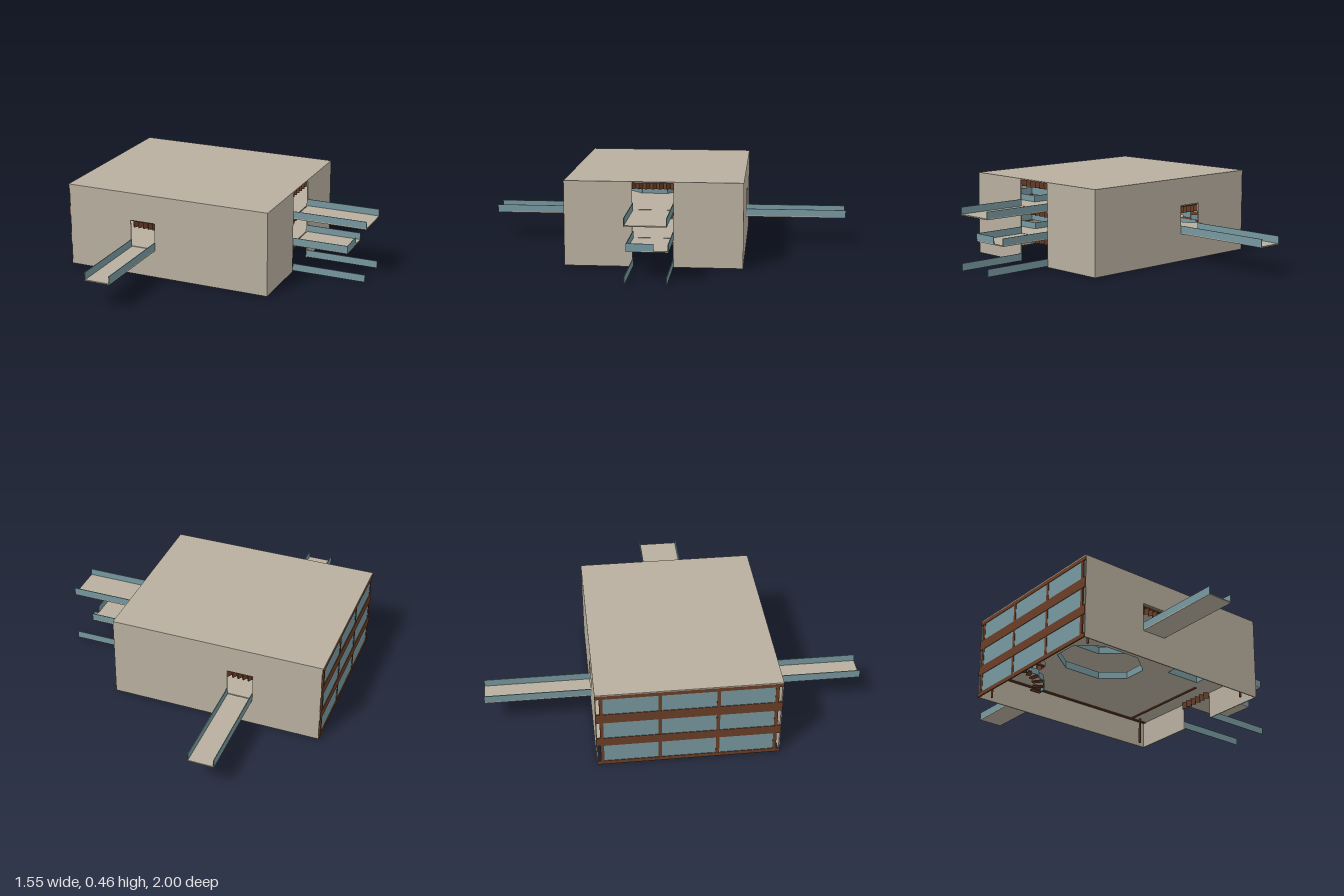
import * as THREE from 'three';

export function createModel() {
  const root = new THREE.Group();
  const mat = (name, color) => {
    const m = new THREE.MeshStandardMaterial({ color });
    m.name = name;
    return m;
  };
  const stone = mat('stone', 0xb8af9f);
  const brown = mat('brown frame', 0x6b3e27);
  const glass = mat('blue glass', 0x76989f);
  const curtainMat = brown.clone();
  curtainMat.name = 'brown curtain';
  curtainMat.side = THREE.DoubleSide;

  const X0 = -0.78, X1 = 0.37, Z0 = -0.44, Z1 = 0.505, H = 0.455, T = 0.006;
  const levels = [0.15, 0.3];

  const add = (name, geo, m, parent = root) => {
    const mesh = new THREE.Mesh(geo, m);
    mesh.name = name;
    parent.add(mesh);
    return mesh;
  };
  // Box given by its minimum and maximum corners
  const box = (name, m, x0, x1, y0, y1, z0, z1, parent = root) => {
    const mesh = add(name, new THREE.BoxGeometry(x1 - x0, y1 - y0, z1 - z0), m, parent);
    mesh.position.set((x0 + x1) / 2, (y0 + y1) / 2, (z0 + z1) / 2);
    return mesh;
  };
  // Upright thin panel between two plan points [x, z]
  const panel = (name, m, a, b, y, h, parent = root) => {
    const dx = b[0] - a[0], dz = b[1] - a[1];
    const mesh = add(name, new THREE.BoxGeometry(Math.hypot(dx, dz), h, 0.004), m, parent);
    mesh.position.set((a[0] + b[0]) / 2, y + h / 2, (a[1] + b[1]) / 2);
    mesh.rotation.y = -Math.atan2(dz, dx);
  };
  const rectPts = (x0, x1, z0, z1) => [[x0, z0], [x1, z0], [x1, z1], [x0, z1]];
  const toPath = (pts, C) => new C(pts.map(p => new THREE.Vector2(p[0], p[1])));

  // Roof
  box('roof', stone, X0, X1, H - T, H, Z0, Z1);

  // Front and back walls with a doorway each
  for (const [name, z] of [['frontWall', Z1 - T], ['backWall', Z0]]) {
    const s = toPath(rectPts(X0 + 0.005, X1, 0, H - T), THREE.Shape);
    s.holes.push(toPath(rectPts(-0.41, -0.27, 0.15, 0.305), THREE.Path));
    add(name, new THREE.ExtrudeGeometry(s, { depth: T, bevelEnabled: false }), stone).position.z = z;
  }

  // Left end wall, split by a full-height slot
  box('slotWall', stone, X1 - T, X1, 0, H - T, Z0 + T, -0.073);
  box('slotWall', stone, X1 - T, X1, 0, H - T, 0.143, Z1 - T);

  // Interior floors with openings and their railings
  const octagon = [[-0.11, 0], [-0.11, 0.14], [-0.23, 0.24], [-0.45, 0.24],
    [-0.58, 0.14], [-0.58, 0], [-0.45, -0.1], [-0.23, -0.1]];
  const stairwell = rectPts(0.01, 0.22, 0.2, 0.47);
  const sx = -0.64, sz = -0.19, R = 0.1;
  const spiralHole = Array.from({ length: 24 }, (_, i) => {
    const a = i / 24 * Math.PI * 2;
    return [sx + R * Math.cos(a), sz + R * Math.sin(a)];
  });
  for (const y of levels) {
    const s = toPath(rectPts(X0 + 0.012, X1 - T, Z0 + T, Z1 - T).map(([x, z]) => [x, -z]), THREE.Shape);
    const floor = new THREE.Group();
    floor.name = 'floor';
    root.add(floor);
    for (const hole of [octagon, stairwell, spiralHole]) {
      s.holes.push(toPath(hole.map(([x, z]) => [x, -z]), THREE.Path));
      if (hole === spiralHole) continue;
      hole.forEach((p, i) => panel('openingRail', glass, p, hole[(i + 1) % hole.length], y, 0.04, floor));
    }
    const g = new THREE.ExtrudeGeometry(s, { depth: T, bevelEnabled: false });
    g.rotateX(-Math.PI / 2);
    add('floorSlab', g, stone, floor).position.y = y;
    // Thin trim under the slab edges
    box('edgeTrim', brown, X0 + 0.02, X1 - 0.01, y - 0.006, y, Z1 - 0.03, Z1 - 0.015, floor);
    box('edgeTrim', brown, X0 + 0.02, X1 - 0.01, y - 0.006, y, Z0 + 0.015, Z0 + 0.03, floor);
    box('edgeTrim', brown, 0.25, 0.262, y - 0.006, y, Z0 + 0.03, 0.15, floor);
  }

  // Curved stair winding round a centre, with a rail outside
  const stair = new THREE.Group();
  stair.name = 'spiralStair';
  root.add(stair);
  const steps = 20;
  for (let i = 0; i < steps; i++) {
    const a = i / steps * Math.PI * 3;
    const tread = add('tread', new THREE.BoxGeometry(0.06, 0.006, 0.025), brown, stair);
    tread.position.set(sx + 0.065 * Math.cos(a), 0.01 + 0.29 * i / steps, sz + 0.065 * Math.sin(a));
    tread.rotation.y = -a;
    const b = a + Math.PI * 3 / steps;
    panel('stairRail', glass, [sx + 0.097 * Math.cos(a), sz + 0.097 * Math.sin(a)],
      [sx + 0.097 * Math.cos(b), sz + 0.097 * Math.sin(b)], 0.01 + 0.29 * i / steps, 0.032, stair);
  }

  // Slim corner columns
  for (const x of [-0.72, 0.3]) for (const z of [-0.39, 0.455]) {
    const c = add('column', new THREE.CylinderGeometry(0.006, 0.006, H - T, 8), brown);
    c.position.set(x, (H - T) / 2, z);
  }

  // Window wall: bands run full width, glass stops short of the corners
  const windowWall = new THREE.Group();
  windowWall.name = 'windowWall';
  root.add(windowWall);
  const bands = [[0, 0.022], [0.125, 0.175], [0.275, 0.33], [0.428, H - T]];
  for (const [y0, y1] of bands) box('band', brown, X0, X0 + 0.008, y0, y1, Z0, Z1, windowWall);
  const g0 = Z0 + 0.03, g1 = Z1 - 0.03, w = (g1 - g0) / 3;
  for (let i = 0; i < 4; i++) {
    const z = g0 + i * w;
    box('mullion', brown, X0 + 0.001, X0 + 0.009, 0.01, H - T, z - 0.009, z + 0.009, windowWall);
  }
  box('pane', glass, X0 + 0.003, X0 + 0.006, 0.01, H - T, g0, g1, windowWall);

  // Folded curtains gathered under the head of each opening
  const curtain = (a, b, y0, y1, folds) => {
    const depth = 0.012, len = Math.hypot(b[0] - a[0], b[1] - a[1]);
    const g = new THREE.PlaneGeometry(len, y1 - y0, folds * 2, 1).toNonIndexed();
    const p = g.attributes.position;
    for (let i = 0; i < p.count; i++) {
      const k = Math.round((p.getX(i) / len + 0.5) * folds * 2);
      p.setZ(i, k % 2 ? depth : -depth);
    }
    g.computeVertexNormals();
    const m = add('foldedCurtain', g, curtainMat);
    m.position.set((a[0] + b[0]) / 2, (y0 + y1) / 2, (a[1] + b[1]) / 2);
    m.rotation.y = -Math.atan2(b[1] - a[1], b[0] - a[0]);
  };
  curtain([-0.41, Z1 - 0.02], [-0.27, Z1 - 0.02], 0.26, 0.305, 5);
  curtain([-0.41, Z0 + 0.02], [-0.27, Z0 + 0.02], 0.26, 0.305, 5);
  for (const y of [0.15, 0.3, H - T]) {
    curtain([X1 - 0.02, -0.073], [X1 - 0.02, 0.143], y - 0.036, y, 6);
  }

  // Front and back bridges
  for (const [name, z0, z1] of [['frontBridge', Z1, 1], ['backBridge', -1, Z0]]) {
    const g = new THREE.Group();
    g.name = name;
    root.add(g);
    box('deck', stone, -0.41, -0.27, 0.15, 0.156, z0, z1, g);
    for (const x of [-0.408, -0.272]) panel('bridgeRail', glass, [x, z0], [x, z1], 0.152, 0.043, g);
  }

  // Side bridges, the lowest with rails only
  for (const [y, end] of [[0.003, 0.775], [0.15, 0.675], [0.3, 0.775]]) {
    const g = new THREE.Group();
    g.name = 'sideBridge';
    root.add(g);
    if (y > 0.1) box('deck', stone, X1, end, y, y + 0.006, -0.075, 0.141, g);
    for (const z of [-0.073, 0.139]) panel('bridgeRail', glass, [X1, z], [end, z], y + 0.003, 0.04, g);
    if (end < 0.7) panel('endRail', glass, [end - 0.002, 0], [end - 0.002, 0.139], y + 0.003, 0.04, g);
  }
  return root;
}
